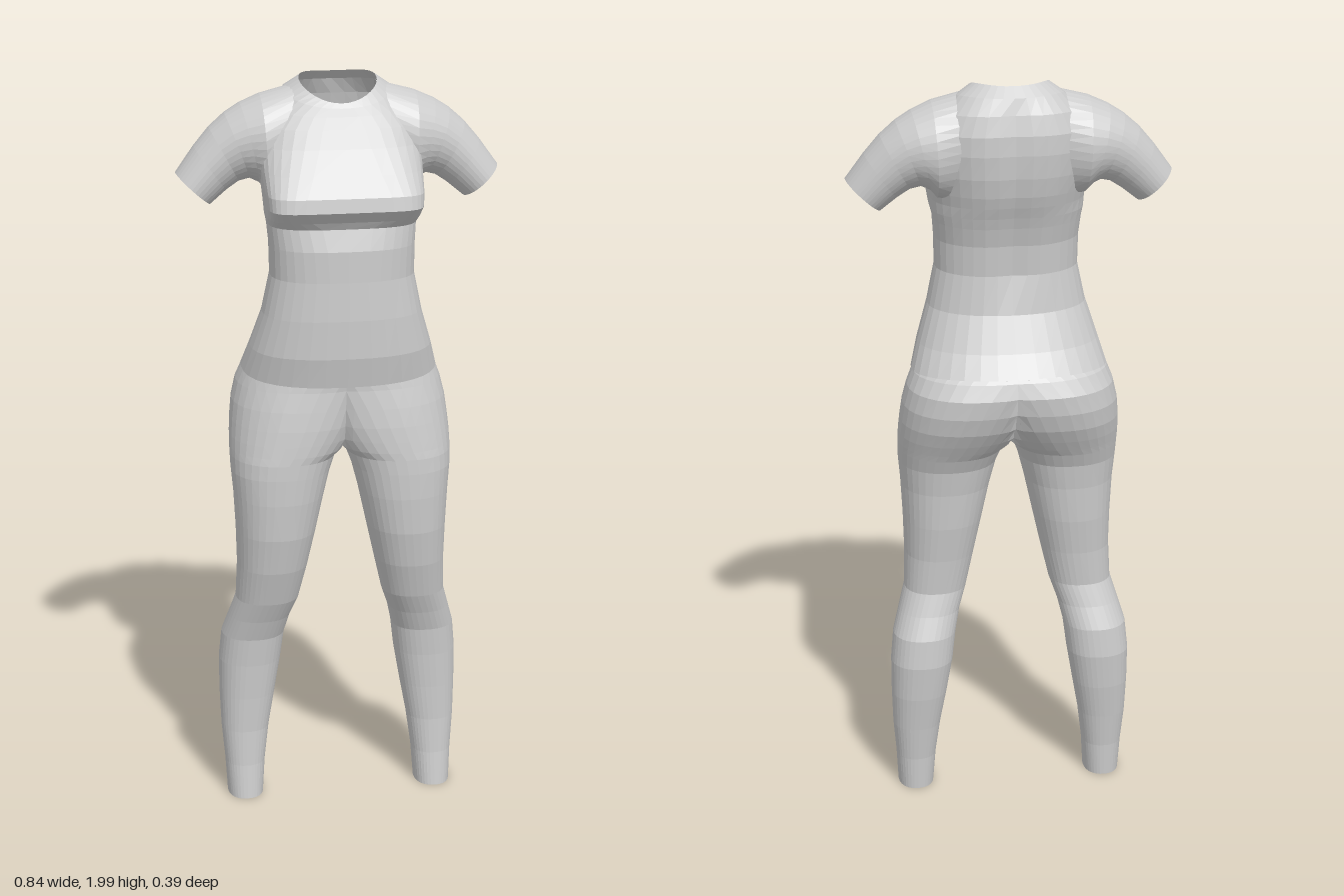
import * as THREE from 'three';

const SEG = 36;
const cloth = new THREE.MeshStandardMaterial({ color: 0xcccccc, flatShading: true, side: THREE.DoubleSide });

// Skins closed rings of points into an open tube; skip(a, b, c) leaves faces out.
function loft(name, rows, pointAt, skip = () => false) {
  const rings = rows.map(row => Array.from({ length: SEG }, (_, j) => pointAt(row, (j / SEG) * Math.PI * 2)));
  const pos = [];
  const tri = (a, b, c) => {
    if (!skip(a, b, c)) for (const p of [a, b, c]) pos.push(p.x, p.y, p.z);
  };
  for (let i = 0; i < rings.length - 1; i++) {
    for (let j = 0; j < SEG; j++) {
      const k = (j + 1) % SEG;
      tri(rings[i][j], rings[i + 1][j], rings[i][k]);
      tri(rings[i][k], rings[i + 1][j], rings[i + 1][k]);
    }
  }
  const geo = new THREE.BufferGeometry();
  geo.setAttribute('position', new THREE.Float32BufferAttribute(pos, 3));
  geo.computeVertexNormals();
  const mesh = new THREE.Mesh(geo, cloth);
  mesh.name = name;
  return mesh;
}

// Rounded-square version of sine and cosine
const soft = (v, n) => Math.sign(v) * Math.pow(Math.abs(v), 2 / n);

// Shirt body, hem to neck: [y front, y back, side lift, half width, z front, z back, front squareness]
const bodyRows = [
  [1.22, 1.255, 0, 0.258, 0.165, -0.187, 2.4],
  [1.30, 1.31, 0, 0.238, 0.18, -0.145, 2.5],
  [1.40, 1.40, 0, 0.208, 0.18, -0.1, 2.6],
  [1.50, 1.50, 0, 0.187, 0.175, -0.086, 2.6],
  [1.58, 1.58, 0, 0.188, 0.173, -0.092, 2.8],
  [1.635, 1.63, 0, 0.192, 0.158, -0.105, 3.2],
  [1.655, 1.66, 0, 0.197, 0.17, -0.115, 4.5],
  [1.685, 1.69, 0, 0.2, 0.195, -0.127, 6],
  [1.72, 1.72, 0, 0.203, 0.189, -0.137, 5.5],
  [1.77, 1.77, 0, 0.208, 0.155, -0.147, 4],
  [1.83, 1.83, 0, 0.212, 0.118, -0.152, 3],
  [1.875, 1.88, 0, 0.208, 0.095, -0.15, 2.6],
  [1.905, 1.93, 0.005, 0.18, 0.08, -0.138, 2.4],
  [1.925, 1.97, 0.015, 0.14, 0.071, -0.115, 2.2],
  [1.937, 1.995, 0.022, 0.1, 0.063, -0.088, 2],
];
function bodyPoint([yF, yB, lift, w, zF, zB, n], a) {
  const c = Math.cos(a), s = Math.sin(a);
  const e = s > 0 ? n : 2.2;
  const x = w * soft(c, e), zs = soft(s, e);
  const mid = (zF + zB) / 2, half = (zF - zB) / 2;
  const y = (yF + yB) / 2 + zs * (yF - yB) / 2 + lift * c * c;
  // Shallow groove down the spine
  const groove = s < 0 && y > 1.45 && y < 1.96 ? 0.011 * Math.exp(-((x / 0.045) ** 2)) : 0;
  return new THREE.Vector3(x, y, mid + half * zs + groove);
}
// Opening between body and sleeve
function armhole(a, b, c) {
  const x = Math.abs(a.x + b.x + c.x) / 3, y = (a.y + b.y + c.y) / 3, z = (a.z + b.z + c.z) / 3;
  return x > 0.17 && y > 1.76 && y < 1.88 && z > -0.08 && z < 0.03;
}

// Sleeve, shoulder to cuff: [top x, top y, bottom x, bottom y, z front, z back]
const sleeveRows = [
  [0.1, 1.978, 0.165, 1.7, 0.066, -0.125],
  [0.2, 1.952, 0.188, 1.705, 0.082, -0.136],
  [0.25, 1.93, 0.205, 1.726, 0.068, -0.128],
  [0.29, 1.905, 0.228, 1.737, 0.058, -0.118],
  [0.33, 1.87, 0.255, 1.731, 0.05, -0.108],
  [0.37, 1.823, 0.287, 1.71, 0.047, -0.098],
  [0.418, 1.757, 0.33, 1.675, 0.047, -0.086],
];
function sleevePoint([tx, ty, bx, by, zF, zB], a) {
  const c = Math.cos(a), s = -Math.sin(a);
  return new THREE.Vector3(
    (tx + bx) / 2 + c * (tx - bx) / 2,
    (ty + by) / 2 + c * (ty - by) / 2,
    (zF + zB) / 2 + s * (zF - zB) / 2);
}

// Legging half, ankle to waist: [y, inner x, outer x, z front, z back]
// Above the crotch the inner side passes the middle and is cut at x = 0.
const legRows = [
  [0.005, 0.215, 0.312, 0.062, -0.066],
  [0.1, 0.208, 0.317, 0.05, -0.071],
  [0.2, 0.195, 0.325, 0.045, -0.085],
  [0.3, 0.177, 0.328, 0.047, -0.101],
  [0.4, 0.16, 0.328, 0.052, -0.111],
  [0.48, 0.15, 0.32, 0.06, -0.104],
  [0.54, 0.136, 0.302, 0.08, -0.08],
  [0.6, 0.115, 0.284, 0.105, -0.062],
  [0.7, 0.092, 0.28, 0.135, -0.07],
  [0.8, 0.07, 0.282, 0.154, -0.084],
  [0.9, 0.048, 0.287, 0.161, -0.091],
  [0.97, 0.03, 0.293, 0.162, -0.102],
  [1.01, 0.015, 0.294, 0.161, -0.12],
  [1.03, -0.01, 0.294, 0.16, -0.132],
  [1.06, -0.035, 0.293, 0.158, -0.15],
  [1.1, -0.065, 0.29, 0.155, -0.172],
  [1.15, -0.095, 0.284, 0.149, -0.188],
  [1.2, -0.13, 0.272, 0.142, -0.193],
  [1.24, -0.18, 0.256, 0.14, -0.178],
  [1.27, -0.23, 0.236, 0.14, -0.155],
];
function legPoint([y, inner, outer, zF, zB], a) {
  const n = 2.25;
  const x = (inner + outer) / 2 + soft(Math.cos(a), n) * (outer - inner) / 2;
  const z = (zF + zB) / 2 + soft(Math.sin(a), n) * (zF - zB) / 2;
  return new THREE.Vector3(Math.max(x, 0), y, z);
}
const onMiddle = (a, b, c) => Math.max(a.x, b.x, c.x) < 1e-4;

export function createModel() {
  const model = new THREE.Group();
  model.name = 'outfit';

  const shirt = new THREE.Group();
  shirt.name = 'shirt';
  shirt.add(loft('shirtBody', bodyRows, bodyPoint, armhole));

  const leggings = new THREE.Group();
  leggings.name = 'leggings';

  // Mirrored sleeves and legs
  for (const [side, sign] of [['left', 1], ['right', -1]]) {
    const sleeve = loft(side + 'Sleeve', sleeveRows, sleevePoint);
    const leg = loft(side + 'Leg', legRows, legPoint, onMiddle);
    sleeve.scale.x = leg.scale.x = sign;
    shirt.add(sleeve);
    leggings.add(leg);
  }

  model.add(shirt, leggings);
  return model;
}
